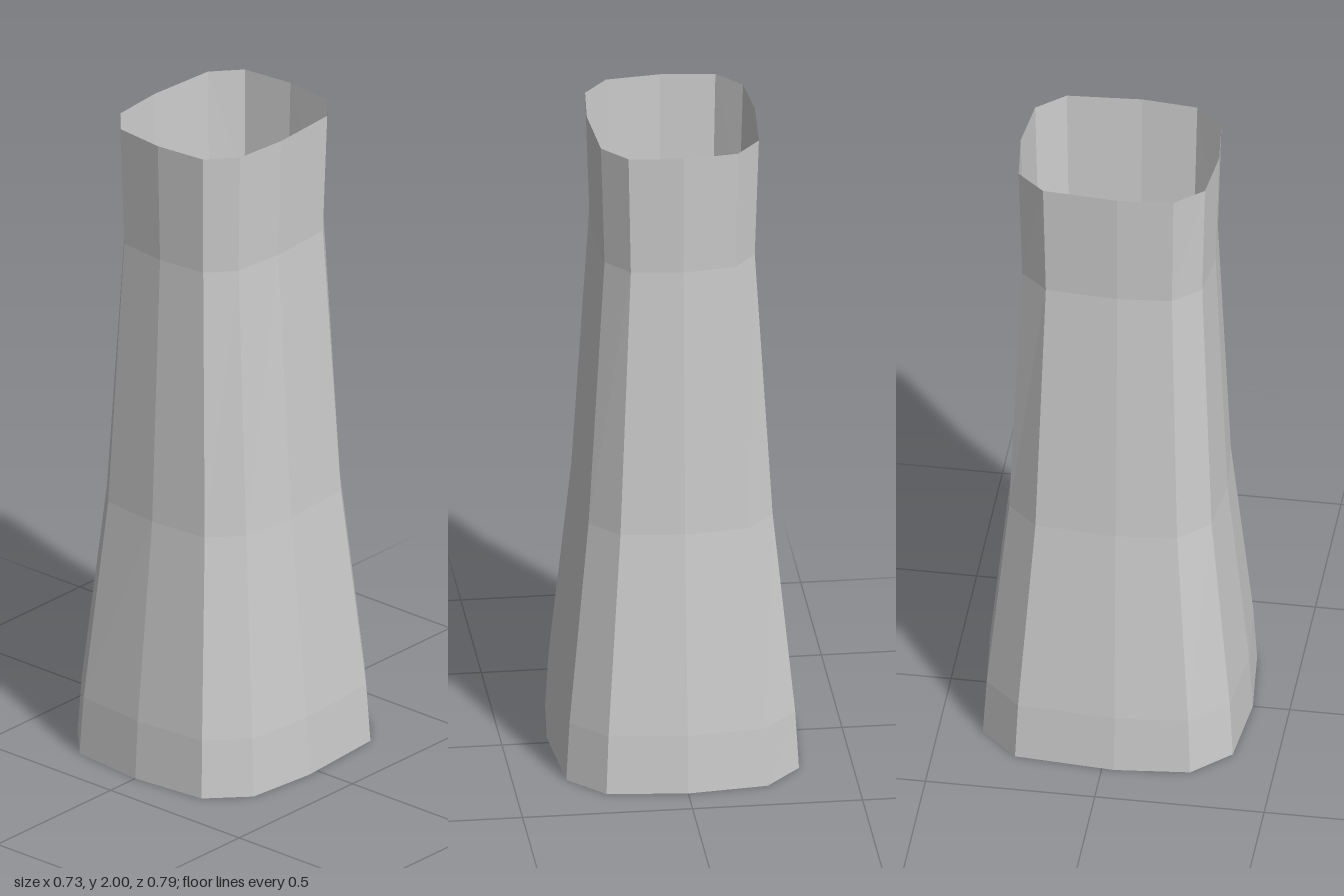
import * as THREE from 'three';

// Right half of the twelve-sided cross-section (x, z), from back to front.
const HALF = [[0, -1.005], [0.652, -0.942], [0.94, -0.66], [1, 0.093], [0.94, 0.655], [0.652, 0.936], [0, 0.995]];
const SECTION = [...HALF, ...HALF.slice(1, -1).reverse().map(([x, z]) => [-x, z])];

// Height, half width and half depth of each ring.
const RINGS = [
  [0, 0.364, 0.393],
  [0.18, 0.353, 0.382],
  [0.8, 0.288, 0.318],
  [1.63, 0.235, 0.283],
  [2, 0.247, 0.293],
];

// Skins the rings into an open tube.
function loft() {
  const positions = [];
  const index = [];
  const n = SECTION.length;
  RINGS.forEach(([y, w, d], r) => {
    SECTION.forEach(([x, z], i) => {
      positions.push(x * w, y, z * d);
      if (r === 0) return;
      const a = (r - 1) * n + i;
      const b = (r - 1) * n + (i + 1) % n;
      index.push(a, a + n, b, b, a + n, b + n);
    });
  });
  const geometry = new THREE.BufferGeometry();
  geometry.setAttribute('position', new THREE.Float32BufferAttribute(positions, 3));
  geometry.setIndex(index);
  const faceted = geometry.toNonIndexed();
  faceted.computeVertexNormals();
  return faceted;
}

export function createModel() {
  const group = new THREE.Group();
  group.name = 'taperedSleeve';
  // Thin flared wall, open at both ends
  const wall = new THREE.Mesh(loft(), new THREE.MeshStandardMaterial({
    color: 0xcccccc, flatShading: true, side: THREE.DoubleSide,
  }));
  wall.name = 'sleeveWall';
  group.add(wall);
  return group;
}
